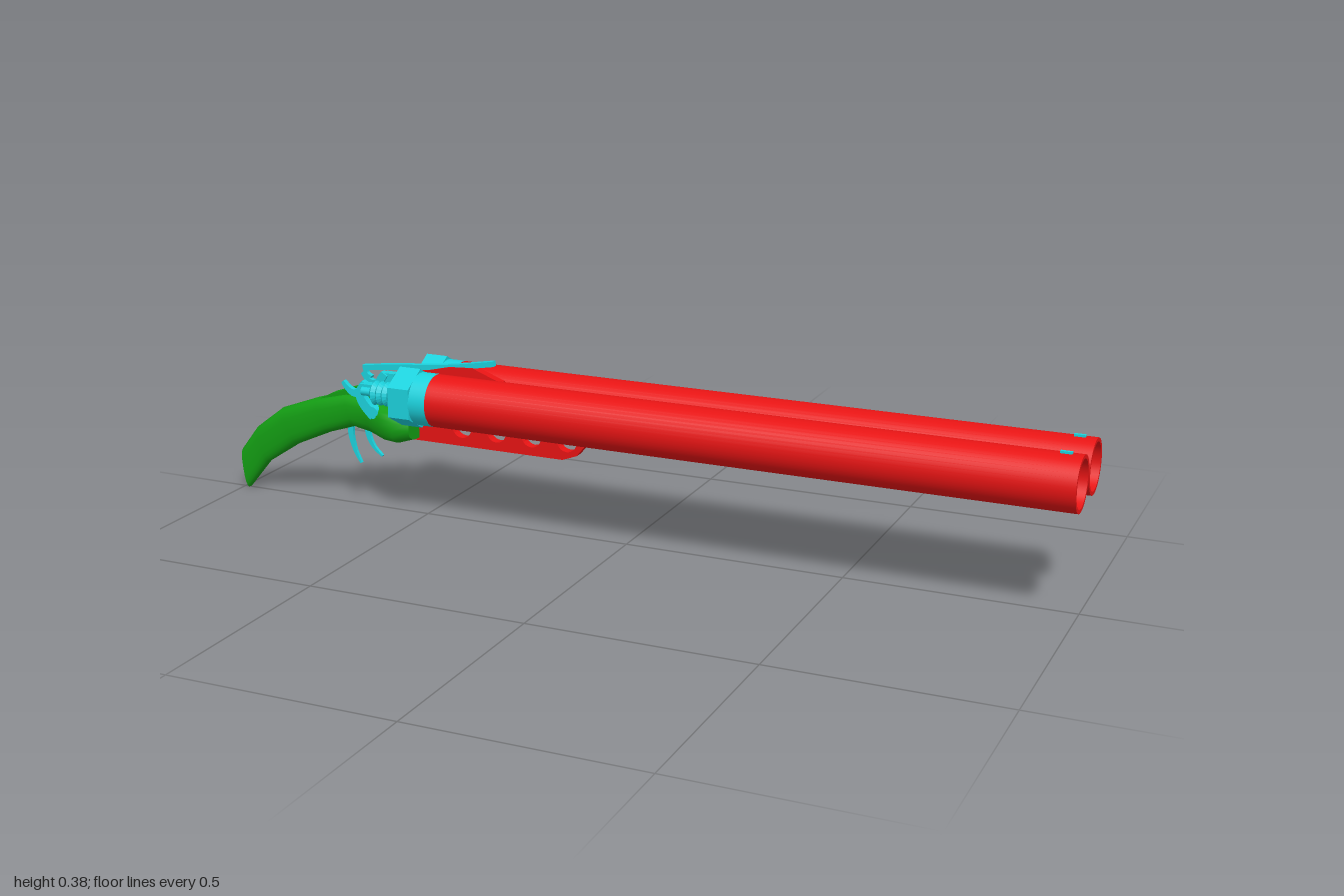
import * as THREE from 'three';

const red = new THREE.MeshStandardMaterial({ color: 0xe81414, side: THREE.DoubleSide });
const cyan = new THREE.MeshStandardMaterial({ color: 0x1cd3de });
const cyanFlat = new THREE.MeshStandardMaterial({ color: 0x1cd3de, flatShading: true });
const green = new THREE.MeshStandardMaterial({ color: 0x14a014, side: THREE.DoubleSide });
const BARREL_Y = 0.298, BARREL_Z = 0.061;

function add(parent, name, geometry, material) {
  const mesh = new THREE.Mesh(geometry, material);
  mesh.name = name;
  parent.add(mesh);
  return mesh;
}

// Flat plate drawn in side profile, centred on z
function plate(points, depth, z = 0, holes = []) {
  const shape = new THREE.Shape(points.map(p => new THREE.Vector2(...p)));
  for (const [x, y, r] of holes) shape.holes.push(new THREE.Path().absarc(x, y, r, 0, Math.PI * 2, true));
  return new THREE.ExtrudeGeometry(shape, { depth, bevelEnabled: false, curveSegments: 10 })
    .translate(0, 0, z - depth / 2);
}

// Body of revolution about the x axis, profile as [x, radius]
function turned(profile, segments = 32) {
  return new THREE.LatheGeometry(profile.map(([x, r]) => new THREE.Vector2(r, x)), segments).rotateZ(-Math.PI / 2);
}

// Tapered strip following a curve in the side plane
function strip(points, w0, w1, depth, z = 0) {
  const curve = new THREE.SplineCurve(points.map(p => new THREE.Vector2(...p)));
  const a = [], b = [];
  for (let i = 0; i <= 10; i++) {
    const t = i / 10, p = curve.getPoint(t), d = curve.getTangent(t), w = (w0 + (w1 - w0) * t) / 2;
    a.push([p.x - d.y * w, p.y + d.x * w]);
    b.unshift([p.x + d.y * w, p.y - d.x * w]);
  }
  return plate([...a, ...b], depth, z);
}

// Curved stock lofted through rounded sections: top x,y, bottom x,y, half width
function gripGeometry() {
  const sections = [
    [-0.997, 0.1, -0.985, 0.003, 0.018], [-0.95, 0.16, -0.925, 0.075, 0.022],
    [-0.88, 0.213, -0.84, 0.13, 0.026], [-0.78, 0.25, -0.75, 0.17, 0.029],
    [-0.7, 0.27, -0.68, 0.193, 0.028], [-0.64, 0.27, -0.63, 0.185, 0.036],
    [-0.59, 0.262, -0.585, 0.176, 0.06], [-0.55, 0.255, -0.55, 0.175, 0.067],
    [-0.51, 0.245, -0.51, 0.188, 0.06]];
  const n = 20, pos = [], idx = [];
  const soft = v => Math.sign(v) * Math.pow(Math.abs(v), 0.75);
  const ring = ([tx, ty, bx, by, w]) => {
    for (let j = 0; j < n; j++) {
      const a = j / n * Math.PI * 2, u = soft(Math.cos(a)) / 2 + 0.5;
      pos.push(bx + (tx - bx) * u, by + (ty - by) * u, w * soft(Math.sin(a)));
    }
  };
  sections.forEach(ring);
  for (let i = 0; i < sections.length - 1; i++) for (let j = 0; j < n; j++) {
    const a = i * n + j, b = i * n + (j + 1) % n;
    idx.push(a, b, a + n, b, b + n, a + n);
  }
  // End caps on their own vertices for crisp rims
  for (const s of [sections[0], sections[sections.length - 1]]) {
    const start = pos.length / 3;
    ring(s);
    for (let j = 1; j < n - 1; j++) {
      if (s === sections[0]) idx.push(start, start + j + 1, start + j);
      else idx.push(start, start + j, start + j + 1);
    }
  }
  const g = new THREE.BufferGeometry();
  g.setAttribute('position', new THREE.Float32BufferAttribute(pos, 3));
  g.setIndex(idx);
  g.computeVertexNormals();
  return g;
}

// One barrel with its breech fittings and hammer
function barrelAssembly(side) {
  const g = new THREE.Group();
  g.name = side > 0 ? 'rightHandBarrel' : 'leftHandBarrel';
  g.position.set(0, BARREL_Y, side * BARREL_Z);

  add(g, 'barrelOuter', turned([[-0.44, 0.059], [1, 0.059]], 40), red);
  add(g, 'barrelBore', turned([[1, 0.051], [-0.42, 0.051]], 40), red);
  add(g, 'muzzleRim', new THREE.RingGeometry(0.051, 0.059, 40).rotateY(Math.PI / 2).translate(1, 0, 0), red);
  const cylinder = (name, x0, x1, r, n, mat) => add(g, name,
    new THREE.CylinderGeometry(r, r, x1 - x0, n, 1, false, Math.PI / 6).rotateZ(-Math.PI / 2)
      .translate((x0 + x1) / 2, 0, 0), mat);
  cylinder('breechCollar', -0.475, -0.433, 0.0595, 32, cyan);
  cylinder('borePlug', -0.435, -0.41, 0.051, 32, cyan);
  cylinder('breechNut', -0.525, -0.473, 0.068, 6, cyanFlat);

  // Threaded bolt behind the nut
  const thread = [[-0.596, 0]];
  for (let i = 0; i < 5; i++) thread.push([-0.596 + i * 0.015, 0.02], [-0.589 + i * 0.015, 0.028]);
  thread.push([-0.52, 0.02]);
  const bolt = add(g, 'threadedBolt', turned(thread.reverse(), 20), cyanFlat);
  bolt.material = cyanFlat.clone();
  bolt.material.side = THREE.DoubleSide;
  cylinder('firingPin', -0.625, -0.59, 0.01, 12, cyan);

  // Hammer on its pivot
  const hz = -side * 0.018;
  add(g, 'hammerArm', strip([[-0.605, -0.06], [-0.63, -0.035], [-0.64, -0.01], [-0.625, 0.015]], 0.026, 0.018, 0.016, hz), cyan);
  add(g, 'hammerSpur', strip([[-0.63, -0.005], [-0.655, -0.012], [-0.672, -0.003], [-0.685, 0.012]], 0.022, 0.008, 0.012, hz), cyan);
  add(g, 'hammerHead', new THREE.BoxGeometry(0.03, 0.024, 0.022).translate(-0.617, 0.004, hz * 0.6), cyan);
  add(g, 'hammerPivot', new THREE.CylinderGeometry(0.014, 0.014, 0.034, 16).rotateX(Math.PI / 2)
    .translate(-0.607, -0.052, -side * 0.025), cyan);

  add(g, 'muzzleBead', new THREE.BoxGeometry(0.024, 0.008, 0.008).translate(0.965, 0.0595, 0), cyan);
  return g;
}

export function createModel() {
  const model = new THREE.Group();
  model.name = 'doubleBarrelGun';
  model.add(barrelAssembly(1), barrelAssembly(-1));

  // Centre ribs and pierced under-rail
  add(model, 'barrelRib', new THREE.BoxGeometry(1.43, 0.05, 0.012).translate(0.28, 0.297, 0), red);
  add(model, 'rearRib', plate([[-0.52, 0.24], [-0.3, 0.24], [-0.3, 0.34], [-0.37, 0.366], [-0.43, 0.362], [-0.52, 0.34]], 0.02), red);
  add(model, 'underRail', plate(
    [[-0.53, 0.182], [-0.15, 0.182], [-0.115, 0.195], [-0.088, 0.228], [-0.085, 0.27], [-0.53, 0.27]], 0.022, 0,
    [-0.4, -0.313, -0.226, -0.139].map(x => [x, 0.225, 0.024])), red);

  // Stock with its tang
  add(model, 'grip', gripGeometry(), green);
  add(model, 'tang', plate(
    [[-0.8, 0.235], [-0.52, 0.22], [-0.52, 0.285], [-0.6, 0.295], [-0.67, 0.29], [-0.74, 0.266]], 0.026), green);

  // Top lever and its posts
  add(model, 'topLever', strip([[-0.655, 0.336], [-0.56, 0.347], [-0.43, 0.361], [-0.32, 0.38]], 0.012, 0.012, 0.014), cyan);
  add(model, 'leverPost', new THREE.BoxGeometry(0.03, 0.08, 0.012).translate(-0.55, 0.308, 0), cyan);
  add(model, 'leverCatch', strip([[-0.652, 0.338], [-0.648, 0.322], [-0.635, 0.315]], 0.01, 0.006, 0.012), cyan);

  // Paired triggers
  add(model, 'rearTrigger', strip([[-0.694, 0.215], [-0.697, 0.175], [-0.688, 0.135], [-0.672, 0.104]], 0.018, 0.004, 0.008), cyan);
  add(model, 'frontTrigger', strip([[-0.652, 0.205], [-0.65, 0.175], [-0.637, 0.148], [-0.615, 0.128]], 0.016, 0.004, 0.008), cyan);
  return model;
}
